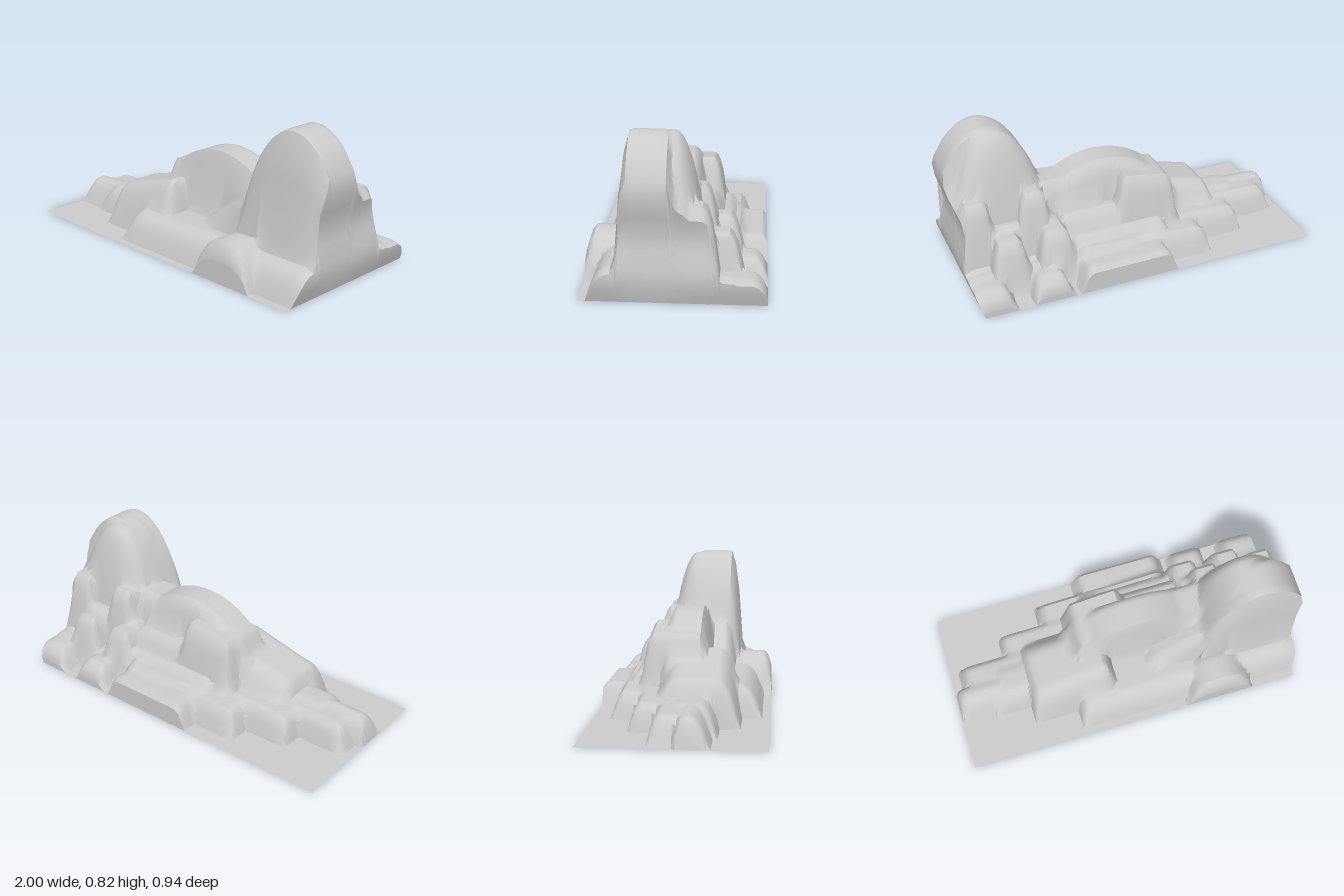
import * as THREE from 'three';
import { toCreasedNormals } from 'three/addons/utils/BufferGeometryUtils.js';

// Rock ledges: rounded blocks whose upper envelope makes the ground
const ledges = [];
function ledge(xRange, heights, zRange, endRound = 0.07, backRound = 0.06, frontRound = 0.06) {
  ledges.push({ xRange, heights, zRange, endRound, backRound, frontRound });
}

function buildLedges() {
  // low tongue, front shoulder, front apron and its boulder
  ledge([-1, -0.5], [0.15, 0.17], [0, 0.18], 0.07, 0.06, 0.1);
  ledge([-0.8, 0.2], [0.16, 0.19], [-0.05, 0.21], 0.1, 0.06, 0.1);
  ledge([-0.59, -0.07], [0.23, 0.37], [-0.16, 0.31], 0.07, 0.16, 0.12);
  ledge([-0.33, 1.2], [0.17, 0.18], [0, 0.42], 0.08, 0.06, 0.12);
  ledge([0.31, 0.69], [0.23, 0.23], [0.2, 0.485], 0.18, 0.1, 0.06);

  // outline stepping out towards the back
  for (let k = 0; k < 4; k++) {
    const x = -0.94 + 0.265 * k;
    ledge([x, 0.4], [0.14, k < 3 ? 0.19 : 0.14], [-0.125 * (k + 1), 0.12]);
  }

  // terraces behind the mound, narrowing as they rise
  for (let k = 0; k < 3; k++) {
    ledge([-0.2 + 0.15 * k, 0.46], [0.22 + 0.1 * k, 0.22 + 0.1 * k], [-0.34 + 0.08 * k, 0.05], 0.07, 0.09);
  }

  // central mound: domed crest, square body and a rear buttress
  ledge([-0.38, 0.62], [0.55, 0.55], [-0.15, 0.135], 0.5, 0.08, 0.05);
  ledge([-0.29, 0.55], [0.43, 0.5], [-0.15, 0.135], 0.07, 0.08, 0.05);
  ledge([-0.28, 0.1], [0.43, 0.49], [-0.25, 0.1], 0.07, 0.08);

  // terraces behind the peak, with staggered jutting blocks
  for (let k = 0; k < 3; k++) {
    const height = 0.14 + 0.2 * k, back = -0.37 + 0.12 * k;
    ledge([0.32 + 0.07 * k, 1.2], [height, height], [back, 0.1], 0.07, 0.08);
    for (const x of k === 1 ? [0.38, 0.64] : [0.46, 0.78]) {
      ledge([x, x + 0.21], [height * 0.92, height * 0.92], [back - 0.11, 0], 0.06, 0.09);
    }
  }

  // tall rounded peak, its sloping back and the flank towards the mound
  ledge([0.4, 1.12], [0.825, 0.825], [-0.04, 0.285], 0.36, 0.07, 0.08);
  ledge([0.42, 1.02], [0.815, 0.815], [-0.18, 0.2], 0.3, 0.18);
  ledge([0.1, 0.7], [0.18, 0.6], [-0.1, 0.27], 0.06, 0.06, 0.08);
}

// Curved rise from an edge; a larger power gives a softer slope
function roundOver(distance, width, power) {
  const t = 1 - THREE.MathUtils.clamp(distance / width, 0, 1);
  return Math.pow(1 - t * t, power);
}

function groundHeight(x, z) {
  let top = 0;
  for (const { xRange: [x0, x1], heights: [h0, h1], zRange: [back, front], ...l } of ledges) {
    const ends = roundOver(x - x0, l.endRound, 0.5) * roundOver(x1 - x, l.endRound, 0.5);
    const sides = roundOver(z - back, l.backRound, 0.75) * roundOver(front - z, l.frontRound, 0.65);
    top = Math.max(top, THREE.MathUtils.mapLinear(x, x0, x1, h0, h1) * ends * sides);
  }
  return top;
}

// The end wall swells near the ground and again below the peak
function endWallX(y) {
  return 0.958 + 0.04 * y + 0.02 * Math.cos((y - 0.13) * 2 * Math.PI / 0.42);
}

export function createModel() {
  const group = new THREE.Group();
  group.name = 'rockOutcrop';
  ledges.length = 0;
  buildLedges();

  // Ground grid, with extra rows at the rim that drop as outer walls
  const nx = 90, nz = 44, drop = 8, xEnd = 0.935, half = 0.47;
  const columns = nx + drop + 1, rows = nz + 2 * drop + 1;
  const positions = [], index = [];
  for (let j = 0; j < rows; j++) {
    const jj = THREE.MathUtils.clamp(j - drop, 0, nz);
    const z = -half + 2 * half * jj / nz;
    const fallZ = 1 - Math.abs(j - drop - jj) / drop;
    for (let i = 0; i < columns; i++) {
      const ii = Math.min(i, nx);
      const x = -1 + (xEnd + 1) * ii / nx;
      const y = groundHeight(x, z) * Math.min(fallZ, 1 - (i - ii) / drop);
      positions.push(i > nx ? endWallX(y) : x, y, z);
    }
  }
  for (let j = 0; j < rows - 1; j++) {
    for (let i = 0; i < columns - 1; i++) {
      const a = j * columns + i, b = a + 1, c = a + columns, d = c + 1;
      index.push(a, c, b, b, c, d);
    }
  }
  const sheet = new THREE.BufferGeometry();
  sheet.setAttribute('position', new THREE.Float32BufferAttribute(positions, 3));
  sheet.setIndex(index);

  const rock = new THREE.Mesh(
    toCreasedNormals(sheet, 0.7),
    new THREE.MeshStandardMaterial({ color: 0xcccccc, side: THREE.DoubleSide })
  );
  rock.name = 'rockSurface';
  group.add(rock);
  return group;
}
